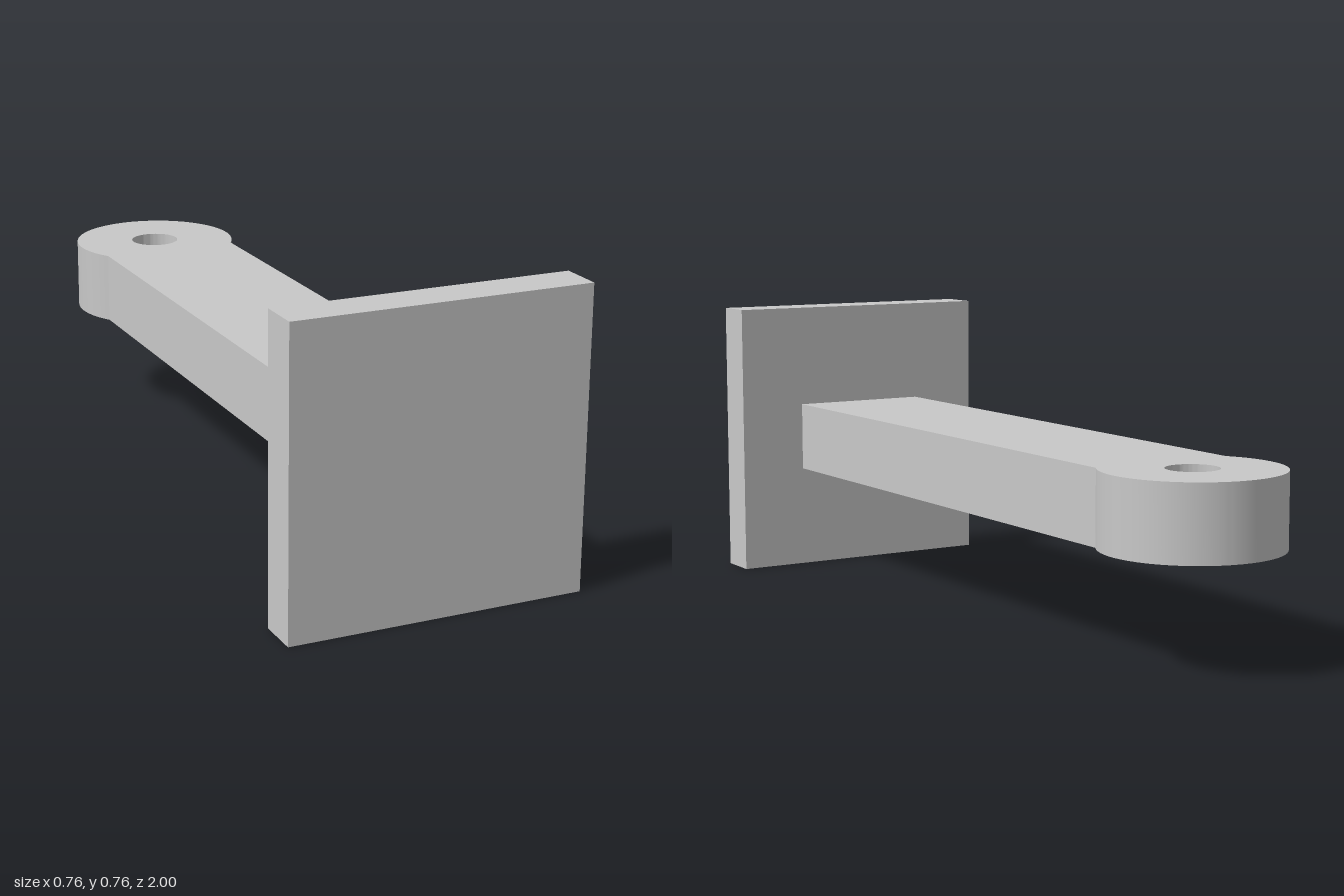
import * as THREE from 'three';
import { toCreasedNormals } from 'three/addons/utils/BufferGeometryUtils.js';

const PLATE = 0.756, PLATE_DEPTH = 0.11;
const ARM_HALF = 0.19, ARM_HEIGHT = 0.19;
const EYE_RADIUS = 0.226, HOLE_RADIUS = 0.066;

export function createModel() {
  const model = new THREE.Group();
  model.name = 'mountingBracket';

  const grey = new THREE.MeshStandardMaterial({ color: 0xc8c8c8 });
  grey.name = 'light grey';

  // Square mounting plate at the front
  const plate = new THREE.Mesh(new THREE.BoxGeometry(PLATE, PLATE, PLATE_DEPTH), grey);
  plate.name = 'mountingPlate';
  plate.position.set(0, PLATE / 2, 1 - PLATE_DEPTH / 2);
  model.add(plate);

  // Arm outline seen from above (shape y runs toward the back), ending in a round eye
  const start = -(1 - PLATE_DEPTH);
  const eyeY = 1 - EYE_RADIUS;
  const angle = Math.acos(ARM_HALF / EYE_RADIUS);
  const outline = new THREE.Shape();
  outline.moveTo(-ARM_HALF, start);
  outline.lineTo(ARM_HALF, start);
  outline.absarc(0, eyeY, EYE_RADIUS, -angle, Math.PI + angle, false);
  outline.closePath();

  // Pin hole through the eye
  const hole = new THREE.Path();
  hole.absarc(0, eyeY, HOLE_RADIUS, 0, Math.PI * 2, true);
  outline.holes.push(hole);

  const armGeometry = new THREE.ExtrudeGeometry(outline, {
    depth: ARM_HEIGHT, bevelEnabled: false, curveSegments: 48,
  });
  armGeometry.rotateX(-Math.PI / 2);
  const arm = new THREE.Mesh(toCreasedNormals(armGeometry, Math.PI / 9), grey);
  arm.name = 'armWithEye';
  arm.position.y = (PLATE - ARM_HEIGHT) / 2;
  model.add(arm);

  return model;
}
